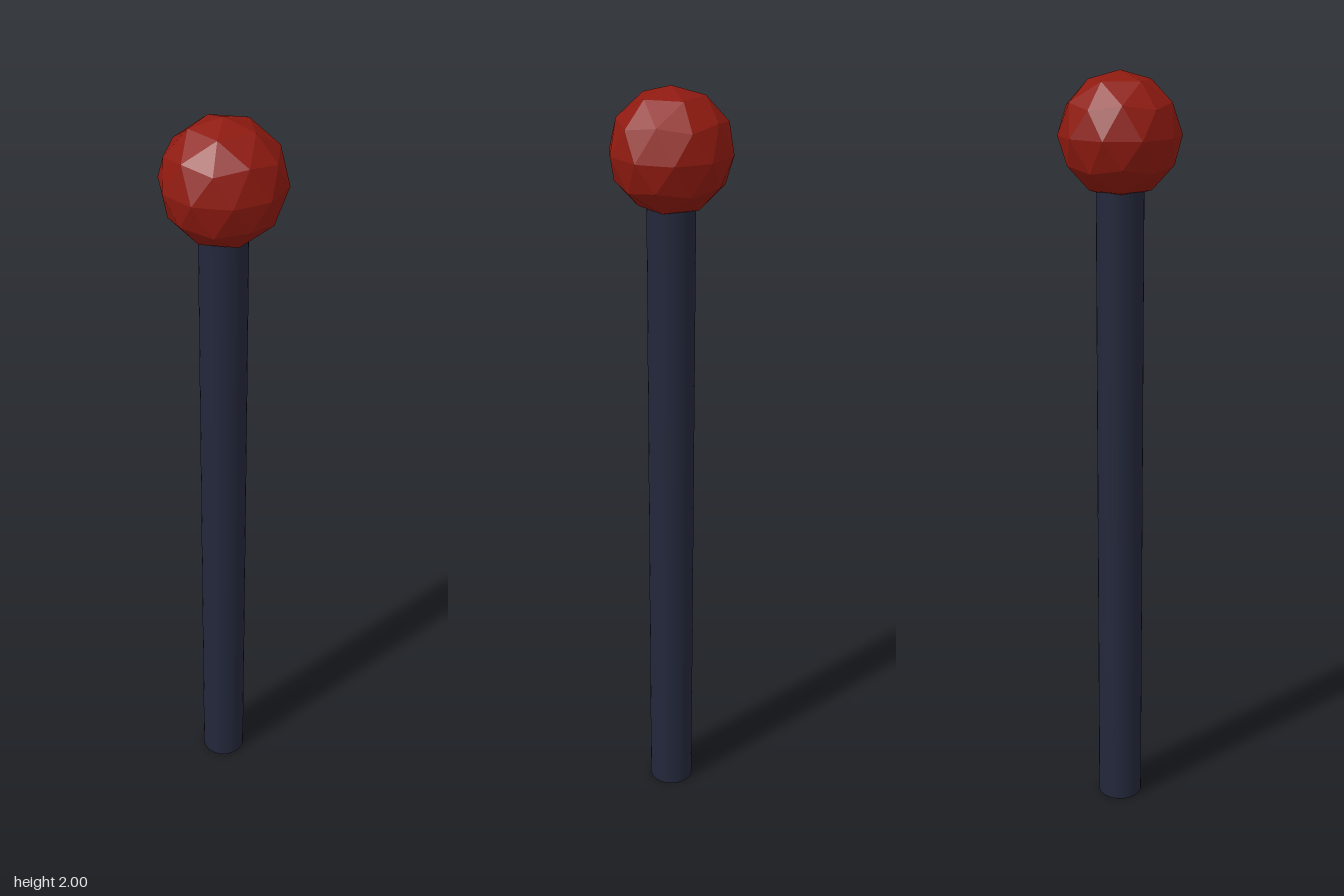
import * as THREE from 'three';

export function createModel() {
  const model = new THREE.Group();
  const radius = 0.153, shaftRadius = 0.06, shaftTop = 1.75;

  // Slim round shaft, its top tucked inside the ball
  const shaft = new THREE.Mesh(
    new THREE.CylinderGeometry(shaftRadius, shaftRadius, shaftTop, 32),
    new THREE.MeshStandardMaterial({ color: 0x23273a })
  );
  shaft.name = 'shaft';
  shaft.position.y = shaftTop / 2;

  // Faceted ball, turned so that one corner points straight up
  const ballGeometry = new THREE.IcosahedronGeometry(radius, 1);
  ballGeometry.rotateZ(-Math.atan(2 / (1 + Math.sqrt(5))));
  const ball = new THREE.Mesh(
    ballGeometry,
    new THREE.MeshStandardMaterial({ color: 0x8e1a10, flatShading: true })
  );
  ball.name = 'ballHead';
  ball.position.y = 2 - radius;

  model.add(shaft, ball);
  return model;
}
